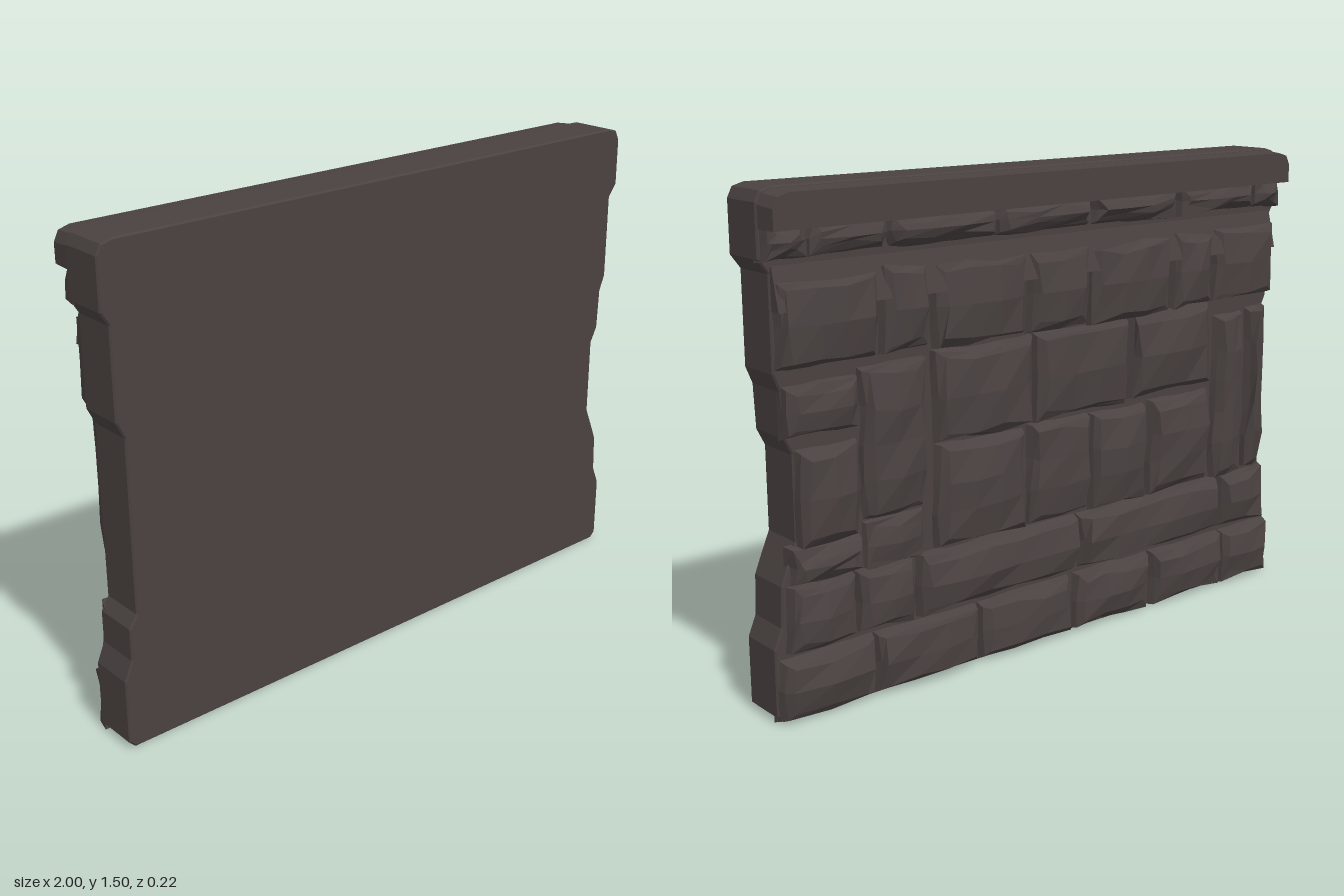
import * as THREE from 'three';

const stone = new THREE.MeshStandardMaterial({ color: 0x4a4241, flatShading: true });
stone.name = 'darkStone';

// Repeatable noise in 0..1 from a position
function noise(x, y, z, k) {
  const s = Math.sin(x * 127.1 + y * 311.7 + z * 74.7 + k * 53.3) * 43758.5453;
  return s - Math.floor(s);
}

// Unweld so every facet keeps its own normal
function mesh(geometry, name) {
  const g = geometry.index ? geometry.toNonIndexed() : geometry;
  g.computeVertexNormals();
  const m = new THREE.Mesh(g, stone);
  m.name = name;
  return m;
}

// Chipped block on the back: bounds x0..x1, y0..y1, outermost face at -depth
function chippedStone(name, x0, x1, y0, y1, depth = 0.105, rough = 1) {
  const w = x1 - x0, h = y1 - y0, cx = (x0 + x1) / 2, cy = (y0 + y1) / 2;
  const root = -0.02, len = depth + root;
  const nx = Math.max(2, Math.round(w / 0.13)), ny = Math.max(2, Math.round(h / 0.12));
  const g = new THREE.BoxGeometry(w, h, len, nx, ny, 2);
  const p = g.attributes.position;
  for (let i = 0; i < p.count; i++) {
    const x = p.getX(i), y = p.getY(i), z = p.getZ(i);
    const u = x / (w / 2), v = y / (h / 2), t = 0.5 - z / len;
    const r = k => noise(Math.round((x + cx) * 1000) / 1000, Math.round((y + cy) * 1000) / 1000, Math.round(t * 2), k);
    const inset = t > 0.9 ? 0.022 : t > 0.4 ? 0.004 : 0;
    const jit = t > 0.4 ? 0.022 * rough : 0;
    const edge = Math.max(Math.abs(u), Math.abs(v)) > 0.98;
    const corner = Math.min(Math.abs(u), Math.abs(v)) > 0.98;
    const drop = t > 0.9 ? (edge ? 0.013 : 0) + (corner ? 0.008 : 0) + 0.016 * rough * r(3) : 0;
    p.setXYZ(i, cx + x - u * (inset + jit * r(1)), cy + y - v * (inset + jit * r(2)), root - t * len + drop);
  }
  return mesh(g, name);
}

export function createModel() {
  const model = new THREE.Group();

  // Flat front slab with notched sides
  const right = [[0.98, 0], [1, 0.02], [1, 0.22], [0.975, 0.28], [0.97, 0.4], [0.95, 0.45], [0.92, 0.52],
    [0.92, 0.77], [0.945, 0.82], [0.95, 0.95], [0.97, 1], [0.97, 1.27], [1, 1.31], [1, 1.46], [0.985, 1.49], [0.95, 1.5]];
  const left = [[-0.95, 1.5], [-0.985, 1.49], [-1, 1.46], [-1, 1.31], [-0.975, 1.27], [-0.975, 1], [-0.95, 0.95],
    [-0.95, 0.42], [-0.975, 0.38], [-0.975, 0.28], [-1, 0.22], [-1, 0.02], [-0.98, 0]];
  const outline = new THREE.Shape([...right, ...left].map(([x, y]) => new THREE.Vector2(x, y)));
  const slab = new THREE.ExtrudeGeometry(outline, {
    depth: 0.14, bevelEnabled: true, bevelThickness: 0.005, bevelSize: 0.005, bevelOffset: -0.005, bevelSegments: 1 });
  slab.translate(0, 0, -0.035);
  model.add(mesh(slab, 'slab'));

  // Smooth cap rail, tapering slightly toward the back
  const capShape = new THREE.Shape([[-1, 1.39], [1, 1.39], [1, 1.46], [0.985, 1.49], [0.95, 1.5],
    [-0.95, 1.5], [-0.985, 1.49], [-1, 1.46]].map(([x, y]) => new THREE.Vector2(x, y)));
  const cap = new THREE.ExtrudeGeometry(capShape, { depth: 0.14, bevelEnabled: false });
  cap.translate(0, 0, -0.11);
  const cp = cap.attributes.position;
  for (let i = 0; i < cp.count; i++) {
    if (cp.getZ(i) > -0.1) continue;
    cp.setX(i, cp.getX(i) * 0.99);
    if (cp.getY(i) > 1.4) cp.setY(i, cp.getY(i) - 0.012);
  }
  model.add(mesh(cap, 'capRail'));

  // Courses of stones: y range, depth and the x joints between them
  const courses = [
    ['capChip', 1.3, 1.41, 0.105, [-1, -0.87, -0.52, -0.15, 0.22, 0.6, 0.86, 1]],
    ['upperStone', 1.0, 1.26, 0.11, [-0.975, -0.68, -0.49, -0.14, 0.11, 0.46, 0.64, 0.97]],
    ['middleBrick', 0.72, 1.01, 0.105, [-0.69, -0.31, 0.08, 0.46]],
    ['lowerBrick', 0.39, 0.72, 0.105, [-0.69, -0.4, -0.15, 0.11, 0.46]],
    ['ledgeStone', 0.2, 0.4, 0.112, [-0.975, -0.74, -0.1, 0.53, 0.74, 0.97]],
    ['footStone', 0, 0.2, 0.108, [-1, -0.76, -0.42, -0.08, 0.3, 0.68, 1]],
  ];
  for (const [name, y0, y1, depth, joints] of courses) {
    for (let i = 0; i < joints.length - 1; i++) {
      const lift = 0.02 * (noise(i, y0, 0, 7) - 0.5) * (y0 > 0.3 && y0 < 1.2 ? 1 : 0);
      model.add(chippedStone(name, joints[i], joints[i + 1], y0 + lift, y1 + lift, depth));
    }
  }

  // Sloping recess above the upper course
  const recess = new THREE.BoxGeometry(1.93, 0.12, 0.05, 12, 1, 1);
  const rp = recess.attributes.position;
  for (let i = 0; i < rp.count; i++) {
    const back = rp.getZ(i) < 0, low = rp.getY(i) < 0;
    rp.setZ(i, back ? (low ? -0.085 : -0.055) + 0.01 * noise(rp.getX(i), 0, 0, 2) : -0.01);
  }
  recess.translate(0, 1.23, 0);
  model.add(mesh(recess, 'recess'));

  // Upright stones at both ends
  const uprights = [
    [0.48, 0.71, 0.53, 0.99, 0.1], [0.48, 0.71, 0.38, 0.54, 0.09],
    [0.71, 0.95, 0.81, 0.97, 0.1], [0.71, 0.92, 0.5, 0.79, 0.108], [0.71, 0.95, 0.39, 0.51, 0.105],
    [-0.85, -0.7, 0.39, 0.97, 0.1], [-0.95, -0.86, 0.4, 0.98, 0.108],
  ];
  for (const u of uprights) model.add(chippedStone('uprightStone', ...u));

  return model;
}
